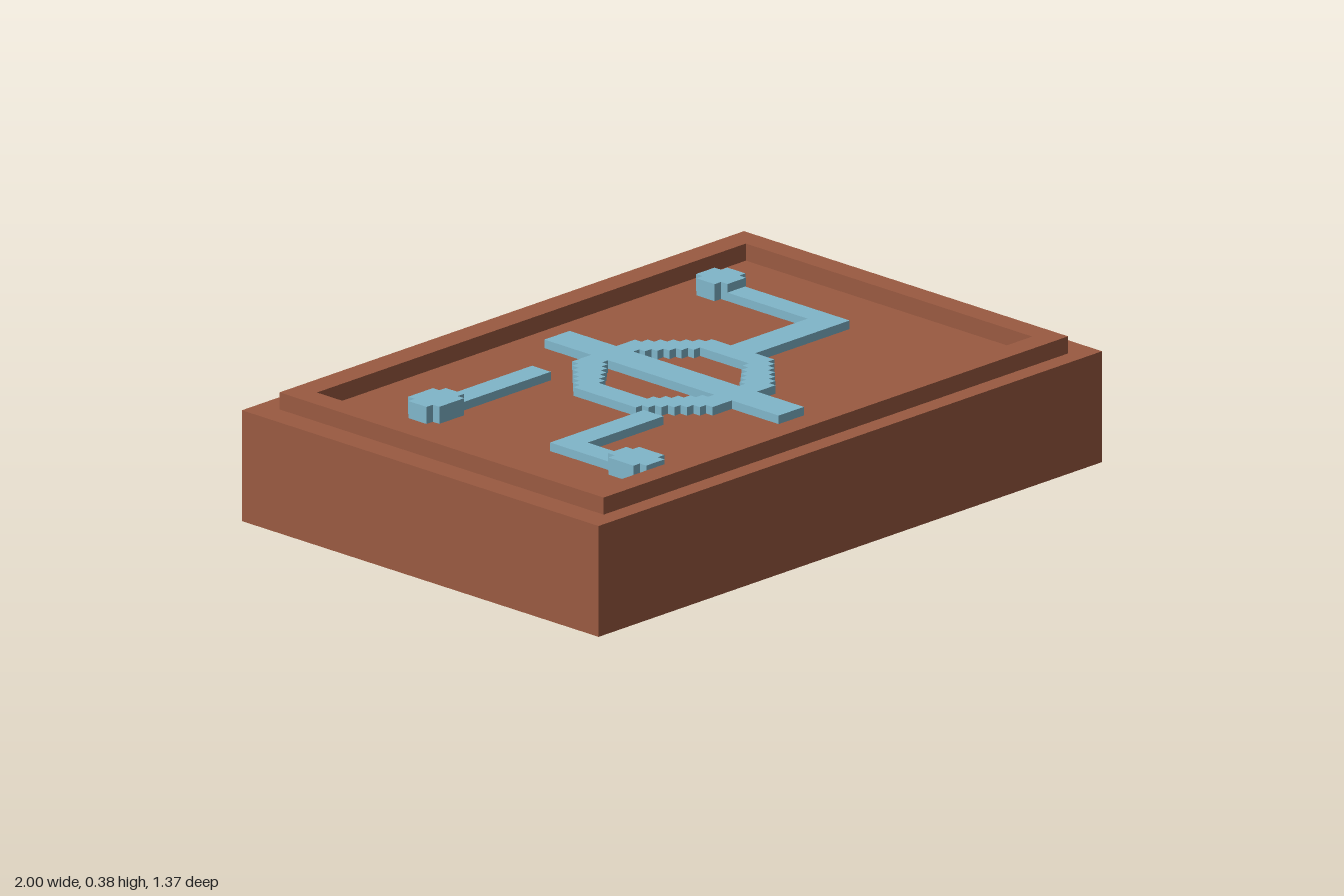
import * as THREE from 'three';

const BASE_TOP = 0.325, RIM_TOP = 0.375, LINE_TOP = 0.35, KNOB_TOP = 0.375;

// Rectangle outline in the x-z plane
const rect = (x0, x1, z0, z1) => [[x0, z0], [x1, z0], [x1, z1], [x0, z1]];

// Rectangle whose corners are cut by n stair steps, cx by cz in size
function stepped(x0, x1, z0, z1, cx, cz, n) {
  const corners = [[x0, z0, 1, 1], [x1, z0, -1, 1], [x1, z1, -1, -1], [x0, z1, 1, -1]];
  const pts = [];
  corners.forEach(([x, z, sx, sz], k) => {
    const stair = [];
    for (let i = 0; i <= n; i++) {
      const px = x + sx * cx * i / n;
      if (i > 0) stair.push([px, z + sz * cz * (n - i + 1) / n]);
      stair.push([px, z + sz * cz * (n - i) / n]);
    }
    pts.push(...(k % 2 ? stair.reverse() : stair));
  });
  return pts;
}

// Extrude an outline from the recessed floor up to a given height
function slab(name, material, outline, top, hole) {
  const toVec = (p) => new THREE.Vector2(p[0], p[1]);
  const shape = new THREE.Shape(outline.map(toVec));
  if (hole) shape.holes.push(new THREE.Path(hole.map(toVec)));
  const geo = new THREE.ExtrudeGeometry(shape, { depth: top - BASE_TOP, bevelEnabled: false });
  geo.rotateX(Math.PI / 2).translate(0, top, 0);
  const mesh = new THREE.Mesh(geo, material);
  mesh.name = name;
  return mesh;
}

export function createModel() {
  const clay = new THREE.MeshStandardMaterial({ color: 0x9a5a41 });
  clay.name = 'brown clay';
  const inlay = new THREE.MeshStandardMaterial({ color: 0x80b6ca });
  inlay.name = 'pale blue inlay';

  const model = new THREE.Group();
  model.name = 'tablet';

  // Solid base block
  const base = new THREE.Mesh(new THREE.BoxGeometry(2, BASE_TOP, 1.37), clay);
  base.name = 'base';
  base.position.y = BASE_TOP / 2;
  model.add(base);

  // Raised frame around the recessed panel
  model.add(slab('rim', clay, rect(-0.923, 0.922, -0.615, 0.63), RIM_TOP,
    rect(-0.852, 0.852, -0.54, 0.56)));

  // Stepped octagonal ring with a bar through it
  const emblem = new THREE.Group();
  emblem.name = 'emblem';
  emblem.add(slab('ring', inlay,
    stepped(-0.278, 0.272, -0.26, 0.28, 0.15, 0.15, 6), LINE_TOP,
    stepped(-0.204, 0.2, -0.195, 0.212, 0.128, 0.11, 5)));
  emblem.add(slab('centreBar', inlay, rect(-0.052, 0.048, -0.44, 0.46), LINE_TOP));

  // Channels leading to the knobs
  emblem.add(slab('rightChannel', inlay, [[0.272, -0.037], [0.577, -0.037], [0.577, -0.345],
    [0.647, -0.345], [0.647, 0.057], [0.272, 0.057]], LINE_TOP));
  emblem.add(slab('backChannel', inlay, rect(-0.578, -0.23, -0.315, -0.243), LINE_TOP));
  emblem.add(slab('frontChannel', inlay, [[-0.65, 0.16], [-0.277, 0.16], [-0.277, 0.235],
    [-0.578, 0.235], [-0.578, 0.385], [-0.65, 0.385]], LINE_TOP));

  // Raised knobs at the channel ends
  const knobs = [
    ['rightKnob', 0.552, 0.675, -0.465, -0.345],
    ['backKnob', -0.727, -0.578, -0.335, -0.215],
    ['frontKnob', -0.677, -0.555, 0.385, 0.532],
  ];
  for (const [name, x0, x1, z0, z1] of knobs) {
    emblem.add(slab(name, inlay, stepped(x0, x1, z0, z1, 0.025, 0.025, 1), KNOB_TOP));
  }
  model.add(emblem);
  return model;
}
